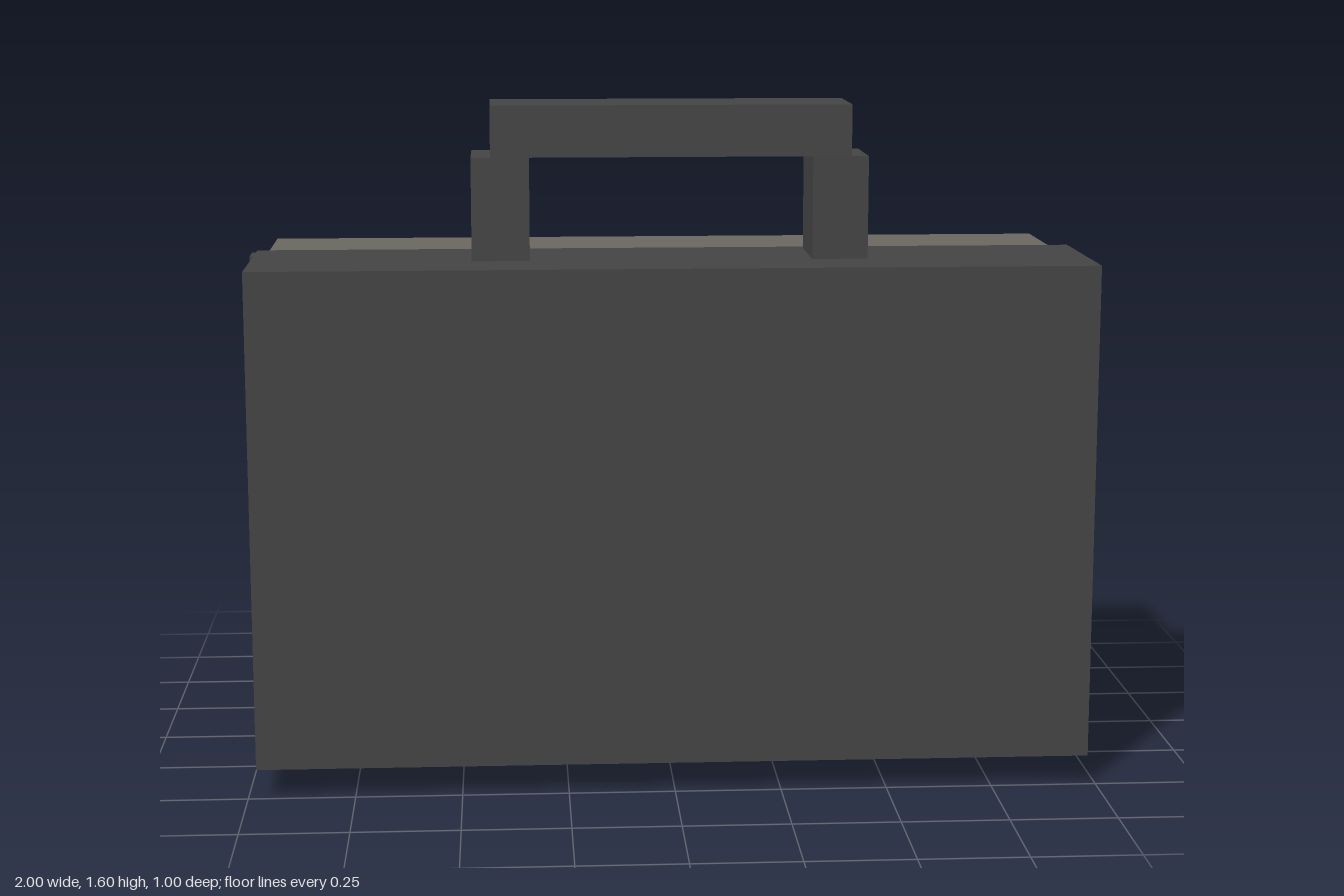
import * as THREE from 'three';

const mat = (name, color, extra = {}) => {
  const m = new THREE.MeshStandardMaterial({ color, ...extra });
  m.name = name;
  return m;
};

export function createModel() {
  const root = new THREE.Group();
  root.name = 'medicalCase';
  const dark = mat('charcoal', 0x434343);
  const grey = mat('warmGrey', 0x6a6760);
  const screenGrey = mat('screenGrey', 0x656461);
  const red = mat('dullRed', 0xa64a3d);
  const cream = mat('cream', 0xc5c1aa);

  // Box given by its extents on each axis
  const box = (name, m, [x0, x1], [y0, y1], [z0, z1], parent = root) => {
    const mesh = new THREE.Mesh(new THREE.BoxGeometry(x1 - x0, y1 - y0, z1 - z0), m);
    mesh.position.set((x0 + x1) / 2, (y0 + y1) / 2, (z0 + z1) / 2);
    mesh.name = name;
    parent.add(mesh);
    return mesh;
  };

  // Thin painted plate whose outer face points to -z
  const plate = (name, m, shape, z) => {
    const depth = 0.005;
    const mesh = new THREE.Mesh(
      new THREE.ExtrudeGeometry(shape, { depth, bevelEnabled: false, curveSegments: 5 }), m);
    mesh.position.z = z - depth;
    mesh.name = name;
    root.add(mesh);
  };

  const roundedRect = (x0, x1, y0, y1, r) => {
    const s = new THREE.Shape();
    s.absarc(x1 - r, y1 - r, r, 0, Math.PI / 2);
    s.absarc(x0 + r, y1 - r, r, Math.PI / 2, Math.PI);
    s.absarc(x0 + r, y0 + r, r, Math.PI, Math.PI * 1.5);
    s.absarc(x1 - r, y0 + r, r, Math.PI * 1.5, Math.PI * 2);
    s.closePath();
    return s;
  };

  // Case halves and the seam rim between them
  box('frontShell', dark, [-0.98, 0.98], [0.07, 1.24], [0.1, 0.5]);
  box('seamRim', dark, [-1, 1], [0.085, 1.225], [0.02, 0.1]);
  box('rearShell', grey, [-0.965, 0.965], [0.1, 1.22], [-0.305, 0.02]);

  // Feet
  box('rightFoot', dark, [-0.855, -0.355], [0.005, 0.1], [0.005, 0.21]);
  box('leftFoot', dark, [0.28, 0.845], [0, 0.1], [0.005, 0.21]);

  // Carrying handle
  const handle = new THREE.Group();
  handle.name = 'handle';
  root.add(handle);
  box('handleGrip', dark, [-0.42, 0.42], [1.48, 1.6], [0.12, 0.34], handle);
  box('rightHandlePost', dark, [-0.465, -0.33], [1.23, 1.48], [0.13, 0.339], handle);
  box('leftHandlePost', dark, [0.33, 0.46], [1.23, 1.48], [0.13, 0.339], handle);

  // Instrument panel on the back
  box('backPlate', dark, [-0.77, 0.77], [0.28, 1.07], [-0.35, -0.3]);
  box('crossPanel', dark, [-0.69, -0.03], [0.34, 1.015], [-0.41, -0.345]);
  box('screenFrame', dark, [0.1, 0.605], [0.49, 0.965], [-0.385, -0.345]);
  box('verticalRedBar', red, [0.65, 0.725], [0.375, 1.005], [-0.37, -0.345]);
  box('horizontalRedBar', red, [0.19, 0.66], [0.335, 0.385], [-0.377, -0.345]);

  // Painted screen, label slot and cross
  plate('screen', screenGrey, roundedRect(0.123, 0.578, 0.52, 0.933, 0.035), -0.385);
  plate('labelSlot', screenGrey, roundedRect(-0.552, -0.112, 0.925, 0.975, 0.023), -0.41);
  const cx = -0.357, cy = 0.68, a = 0.085, b = 0.21;
  const cross = new THREE.Shape([
    [a, a], [a, b], [-a, b], [-a, a], [-b, a], [-b, -a],
    [-a, -a], [-a, -b], [a, -b], [a, -a], [b, -a], [b, a],
  ].map(([x, y]) => new THREE.Vector2(cx + x, cy + y)));
  plate('redCross', red, cross, -0.41);

  // Small dashed readout on the screen
  for (let i = 0; i < 5; i++) {
    const x = 0.318 + i * 0.038, y = 0.59 + (i % 2) * 0.008;
    box('readoutDash', red, [x, x + 0.028], [y, y + 0.014], [-0.393, -0.388]);
  }

  // Cream latch bar with a dark inlay strip
  box('latchBar', cream, [-0.36, 0.35], [0.725, 0.845], [-0.503, -0.38]);
  box('latchStrip', screenGrey, [-0.297, 0.29], [0.8, 0.866], [-0.444, -0.4]);

  return root;
}
